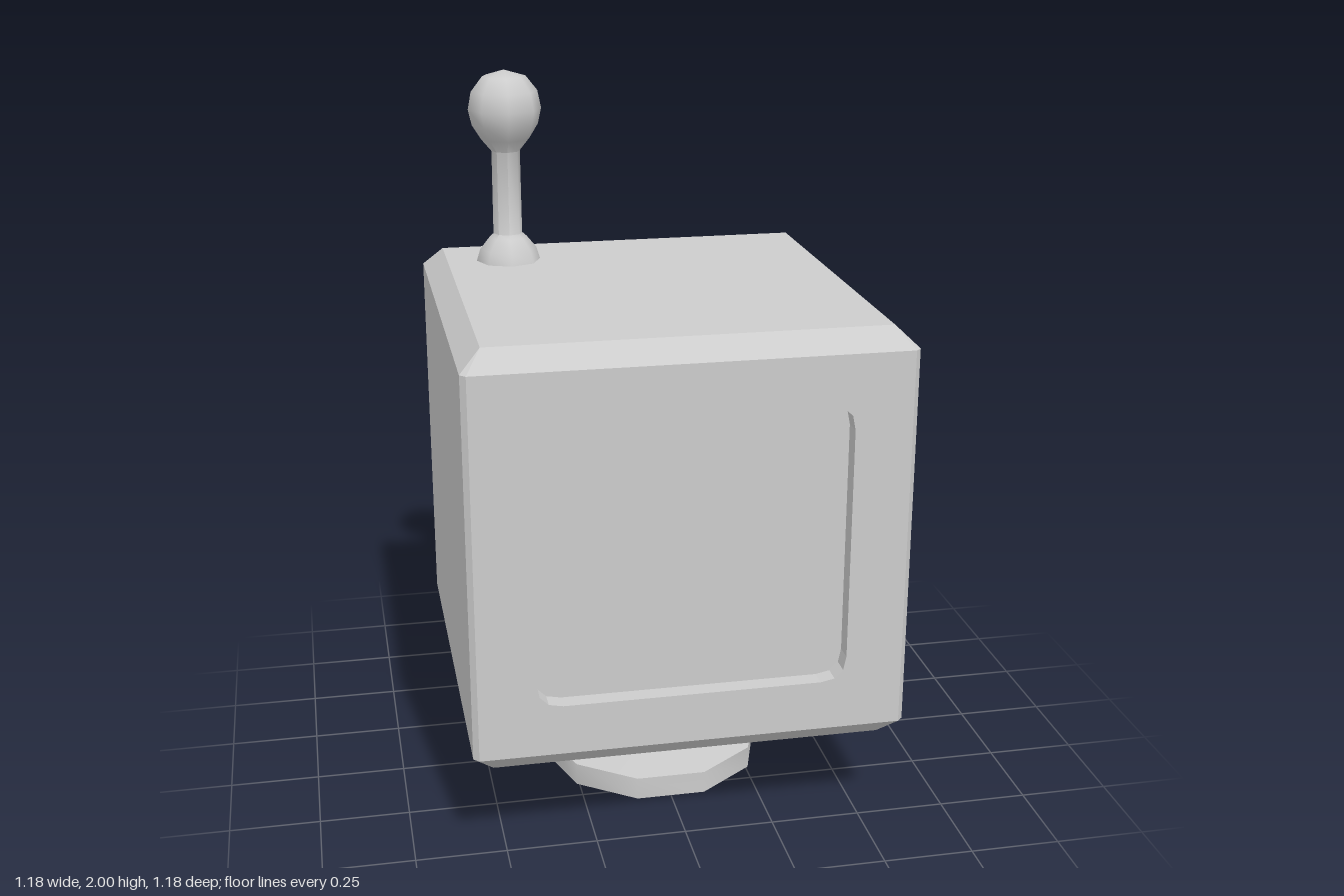
import * as THREE from 'three';
import { toCreasedNormals } from 'three/addons/utils/BufferGeometryUtils.js';

const grey = new THREE.MeshStandardMaterial({ color: 0xcccccc, side: THREE.DoubleSide });
grey.name = 'plain grey';

function addMesh(group, name, geometry) {
  const mesh = new THREE.Mesh(geometry, grey);
  mesh.name = name;
  group.add(mesh);
  return mesh;
}

// Geometry from a flat list of Vector3 triangle corners
function facets(points) {
  const geometry = new THREE.BufferGeometry().setFromPoints(points);
  geometry.computeVertexNormals();
  return geometry;
}

// Square ring of half width h with cut corners c at height y
function ring(h, c, y) {
  const points = [];
  let pair = [[h, h - c], [h - c, h]];
  for (let k = 0; k < 4; k++) {
    pair.forEach(([x, z]) => points.push(new THREE.Vector3(x, y, z)));
    pair = pair.map(([x, z]) => [-z, x]);
  }
  return points;
}

function turned(profile, sides, start = 0) {
  const points = profile.map(([r, y]) => new THREE.Vector2(r, y));
  return toCreasedNormals(new THREE.LatheGeometry(points, sides, start), 0.9);
}

function roundedRect(path, w, y0, y1, r) {
  path.moveTo(-w + r, y0);
  path.lineTo(w - r, y0);
  path.quadraticCurveTo(w, y0, w, y0 + r);
  path.lineTo(w, y1 - r);
  path.quadraticCurveTo(w, y1, w - r, y1);
  path.lineTo(-w + r, y1);
  path.quadraticCurveTo(-w, y1, -w, y1 - r);
  path.lineTo(-w, y0 + r);
  path.quadraticCurveTo(-w, y0, -w + r, y0);
  return path;
}

export function createModel() {
  const model = new THREE.Group();
  const half = 0.59, inset = 0.533, cut = 0.015;
  const low = 0.335, high = 1.395, depth = 0.05;

  // Bevelled shell, open underneath, with the front left out
  const rings = [ring(inset, 0, 0.28), ring(half, cut, low), ring(half, cut, high), ring(inset, 0, 1.45)];
  const shell = [];
  for (let band = 0; band < 3; band++) {
    for (let i = 0; i < 8; i++) {
      if (band === 1 && i === 1) continue;
      const j = (i + 1) % 8;
      const [a, b] = [rings[band][i], rings[band][j]];
      const [d, c] = [rings[band + 1][i], rings[band + 1][j]];
      if (!d.equals(c)) shell.push(a, d, c);
      if (!a.equals(b)) shell.push(a, c, b);
    }
  }
  const top = rings[3];
  shell.push(top[0], top[4], top[2], top[0], top[6], top[4]);
  addMesh(model, 'bodyShell', facets(shell));

  // Front frame around the recessed screen
  const w = half - cut;
  const frame = new THREE.Shape([[-w, low], [w, low], [w, high], [-w, high]].map(([x, y]) => new THREE.Vector2(x, y)));
  const opening = roundedRect(new THREE.Shape(), 0.42, 0.475, 1.26, 0.07);
  frame.holes.push(opening);
  addMesh(model, 'frontFrame', new THREE.ShapeGeometry(frame, 3)).position.z = half;
  addMesh(model, 'screen', new THREE.ShapeGeometry(opening, 3)).position.z = half - depth;

  // Walls of the recess, facing inwards
  const outline = opening.getPoints(3);
  const walls = [];
  for (let i = 0; i < outline.length - 1; i++) {
    const at = (p, z) => new THREE.Vector3(p.x, p.y, z);
    const [p, q] = [outline[i], outline[i + 1]];
    const [a, b, c, d] = [at(p, half), at(q, half), at(q, half - depth), at(p, half - depth)];
    walls.push(a, b, c, a, c, d);
  }
  addMesh(model, 'screenRecess', facets(walls));

  // Hollow foot with a flared stem that reaches inside the shell
  const foot = [[0.318, 0], [0.318, 0.065], [0.066, 0.085], [0.118, 0.5]];
  addMesh(model, 'footAndStem', turned(foot, 10, Math.PI / 2));

  // Antenna with a domed socket and a ball tip
  const antenna = [
    [0.093, 1.45], [0.082, 1.485], [0.055, 1.518], [0.042, 1.53], [0.041, 1.77], [0.07, 1.805],
    [0.095, 1.845], [0.105, 1.89], [0.095, 1.94], [0.062, 1.982], [0, 2],
  ];
  addMesh(model, 'antenna', turned(antenna, 8)).position.set(-0.355, 0, -0.355);

  return model;
}
